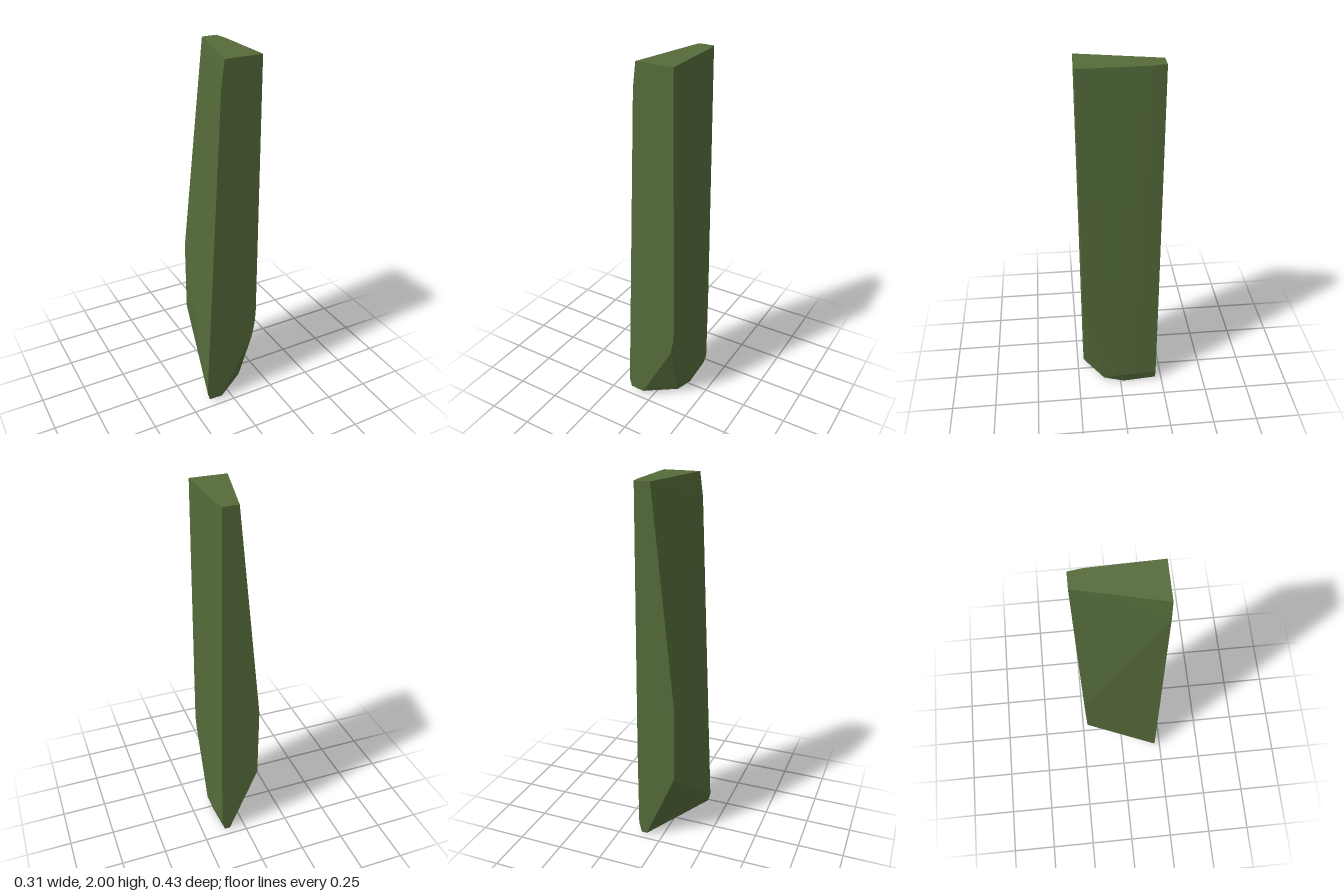
import * as THREE from 'three';
import { ConvexGeometry } from 'three/addons/geometries/ConvexGeometry.js';

// Outlines of the slab's two flat ends as [x, y]
const zEnd = 0.213;
const frontOutline = [
  [-0.058, 2], [0.143, 2], [0.152, 0.55], [0.147, 0.47], [0.13, 0.38],
  [-0.06, 0.016], [-0.14, 0.02], [-0.153, 0.07], [-0.075, 1.87],
];
const backOutline = [
  [0.041, 2], [0.124, 2], [0.137, 0.55], [0.137, 0.07], [0.122, 0.008],
  [0.09, 0.008], [-0.077, 0.4], [-0.08, 0.82],
];

// Slight bulge of the broad side and its chipped lower corner as [x, y, z]
const broadSide = [
  [0.134, 2, -0.14], [0.147, 0.55, -0.09], [0.152, 0.55, 0.05],
  [0.147, 0.07, -0.09], [0.151, 0.07, 0.02], [0.13, 0, -0.02],
  [0.135, 0.2, 0.14], [0.115, 0.025, 0.1],
];

export function createModel() {
  const group = new THREE.Group();
  group.name = 'shard';

  const points = [
    ...frontOutline.map(([x, y]) => new THREE.Vector3(x, y, zEnd)),
    ...backOutline.map(([x, y]) => new THREE.Vector3(x, y, -zEnd)),
    ...broadSide.map((p) => new THREE.Vector3(...p)),
  ];

  // Faceted slab: the convex skin around the outlines
  const slab = new THREE.Mesh(
    new ConvexGeometry(points),
    new THREE.MeshStandardMaterial({ color: 0x556b3a, flatShading: true }),
  );
  slab.name = 'slab';
  group.add(slab);
  return group;
}
